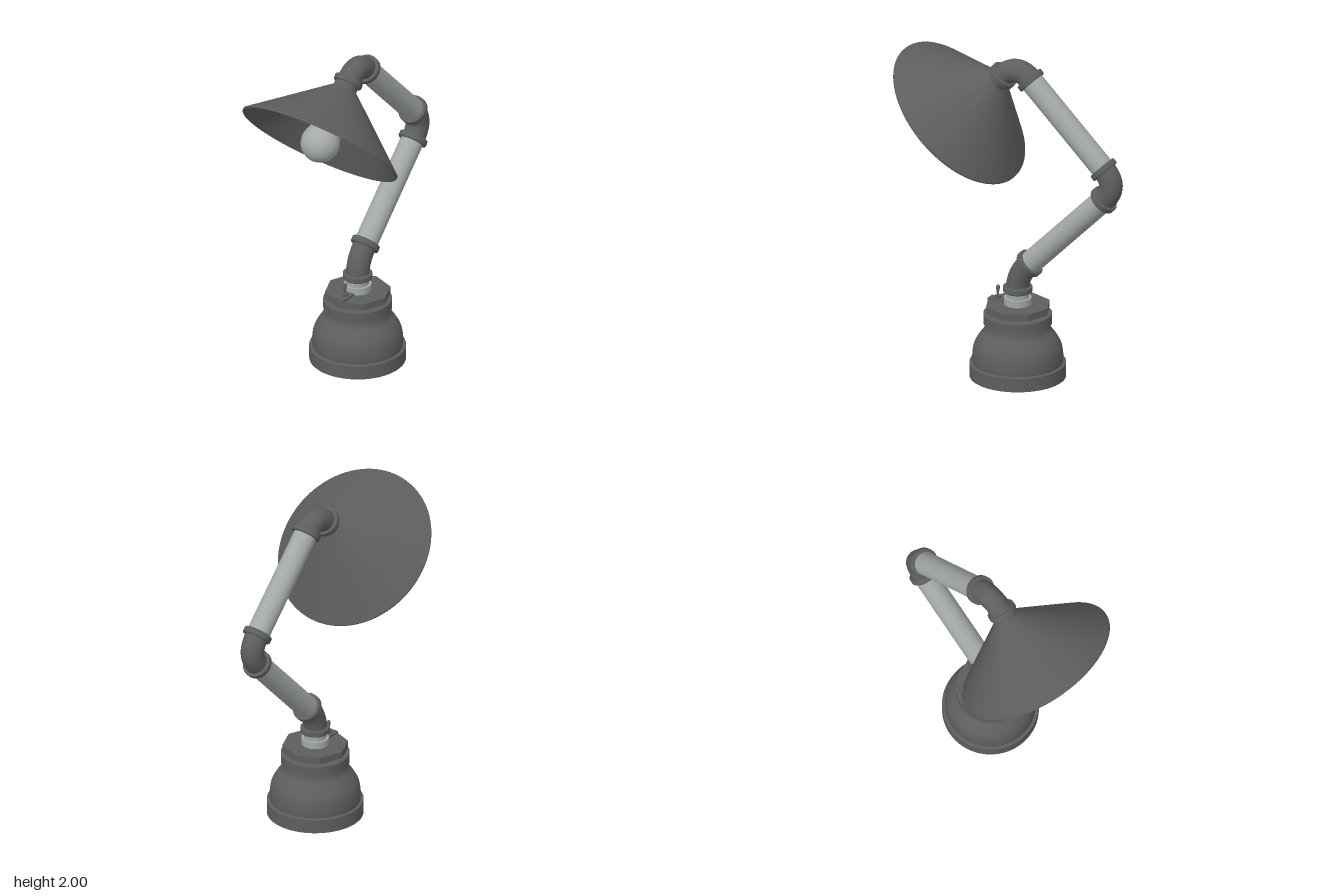
import * as THREE from 'three';
import { toCreasedNormals } from 'three/addons/utils/BufferGeometryUtils.js';

const darkIron = new THREE.MeshStandardMaterial({ color: 0x5e5e60 });
const paleSteel = new THREE.MeshStandardMaterial({ color: 0xa2a7a7 });
const bulbGlass = new THREE.MeshStandardMaterial({ color: 0xa4a9a7 });

const BASE_Z = -0.024;
const PIPE_R = 0.07;

function part(parent, name, geometry, material) {
  const mesh = new THREE.Mesh(geometry, material);
  mesh.name = name;
  parent.add(mesh);
  return mesh;
}

// Turned shape from [radius, height] pairs, listed bottom to top
function turned(points, segments = 64, crease = 0.6) {
  const profile = points.map(([r, y]) => new THREE.Vector2(r, y));
  return toCreasedNormals(new THREE.LatheGeometry(profile, segments), crease);
}

const point = (y, z) => new THREE.Vector3(0, y, z);

// Turn a part so that its y axis follows a direction
function aim(mesh, position, direction) {
  mesh.position.copy(position);
  mesh.quaternion.setFromUnitVectors(new THREE.Vector3(0, 1, 0), direction.clone().normalize());
}

export function createModel() {
  const model = new THREE.Group();
  model.name = 'pipeLamp';

  // Base: bottom flange, bell, collar and octagonal nut
  const base = new THREE.Group();
  base.name = 'base';
  base.position.z = BASE_Z;
  model.add(base);
  part(base, 'bottomFlange', turned([
    [0, 0], [0.287, 0], [0.287, 0.086], [0.282, 0.09], [0, 0.09],
  ]), darkIron);
  const bellCurve = new THREE.SplineCurve([
    [0.269, 0.09], [0.27, 0.13], [0.26, 0.195], [0.228, 0.255], [0.199, 0.295], [0.19, 0.34],
  ].map(([r, y]) => new THREE.Vector2(r, y)));
  part(base, 'bell', new THREE.LatheGeometry(bellCurve.getPoints(24), 64), darkIron);
  part(base, 'collar', turned([
    [0.185, 0.335], [0.204, 0.335], [0.204, 0.396], [0.199, 0.4], [0, 0.4],
  ]), darkIron);
  part(base, 'nutNeck', new THREE.CylinderGeometry(0.1, 0.1, 0.02, 48), darkIron).position.y = 0.405;
  const nut = part(base, 'octagonalNut',
    toCreasedNormals(new THREE.CylinderGeometry(0.197, 0.197, 0.043, 8), 0.3), darkIron);
  nut.position.y = 0.4325;

  // Short riser pipe
  part(base, 'riserFoot', new THREE.CylinderGeometry(0.082, 0.082, 0.042, 48), paleSteel).position.y = 0.475;
  part(base, 'riserPipe', new THREE.CylinderGeometry(0.067, 0.067, 0.05, 48), paleSteel).position.y = 0.515;

  // Toggle switch on the front of the nut
  const toggle = new THREE.Group();
  toggle.name = 'toggleSwitch';
  toggle.position.set(0, 0.454, 0.108);
  model.add(toggle);
  part(toggle, 'switchPlate', new THREE.BoxGeometry(0.06, 0.012, 0.11), darkIron).position.y = 0.006;
  part(toggle, 'switchBushing', new THREE.CylinderGeometry(0.018, 0.018, 0.02, 20), darkIron).position.y = 0.02;
  part(toggle, 'switchLever', turned([
    [0, 0.01], [0.006, 0.01], [0.007, 0.05], [0.012, 0.075], [0.012, 0.088], [0.006, 0.095], [0, 0.096],
  ], 20, 1), darkIron);

  // Elbows: start, corner and end of each bend
  const bends = {
    lowerElbow: [point(0.55, BASE_Z), point(0.645, BASE_Z), point(0.722, -0.103)],
    middleElbow: [point(1.214, -0.595), point(1.31, -0.691), point(1.406, -0.595)],
    upperElbow: [point(1.888, -0.11), point(1.978, -0.02), point(1.885, 0.073)],
  };
  const ringShape = turned([
    [0, -0.019], [0.083, -0.019], [0.088, -0.014], [0.088, 0.014], [0.083, 0.019], [0, 0.019],
  ], 48);
  for (const [name, [start, corner, end]] of Object.entries(bends)) {
    const path = new THREE.QuadraticBezierCurve3(start, corner, end);
    part(model, name, new THREE.TubeGeometry(path, 28, PIPE_R, 40), darkIron);
    aim(part(model, name + 'StartRing', ringShape, darkIron), start, corner.clone().sub(start));
    aim(part(model, name + 'EndRing', ringShape, darkIron), end, end.clone().sub(corner));
  }

  // Straight pipes between the elbows
  const arms = [
    ['lowerArm', bends.lowerElbow[2], bends.middleElbow[0]],
    ['upperArm', bends.middleElbow[2], bends.upperElbow[0]],
  ];
  for (const [name, from, to] of arms) {
    const run = to.clone().sub(from);
    const pipe = part(model, name, new THREE.CylinderGeometry(PIPE_R, PIPE_R, run.length(), 48), paleSteel);
    aim(pipe, from.clone().addScaledVector(run, 0.5), run);
  }

  // Lamp head, its local y axis pointing back up to the upper elbow
  const head = new THREE.Group();
  head.name = 'lampHead';
  head.position.set(0, 1.5925, 0.3675);
  head.rotation.x = -Math.PI / 4;
  model.add(head);
  part(head, 'shade', turned([
    [0, 0.36], [0.06, 0.36], [0.488, 0.0], [0.497, -0.004], [0.5, 0.0], [0.5, 0.008], [0.068, 0.372], [0, 0.372],
  ], 96, 0.5), darkIron);
  part(head, 'shadeCollar', turned([
    [0, 0.35], [0.072, 0.35], [0.072, 0.42], [0, 0.42],
  ], 48), darkIron);
  part(head, 'bulbSocket', turned([
    [0, 0.25], [0.055, 0.25], [0.062, 0.258], [0.062, 0.285], [0.055, 0.292], [0.055, 0.305],
    [0.065, 0.312], [0.065, 0.36], [0, 0.36],
  ], 40), darkIron);

  // Pear-shaped bulb: round front running into a tapered neck
  const bulb = [];
  for (let i = 0; i <= 18; i++) {
    const a = -Math.PI / 2 + (i / 18) * (Math.PI / 2 + 0.45);
    bulb.push(new THREE.Vector2(Math.max(0, 0.117 * Math.cos(a)), 0.008 + 0.117 * Math.sin(a)));
  }
  bulb.push(new THREE.Vector2(0.085, 0.12), new THREE.Vector2(0.064, 0.175),
    new THREE.Vector2(0.051, 0.22), new THREE.Vector2(0.047, 0.26));
  part(head, 'bulb', new THREE.LatheGeometry(bulb, 48), bulbGlass);

  return model;
}
